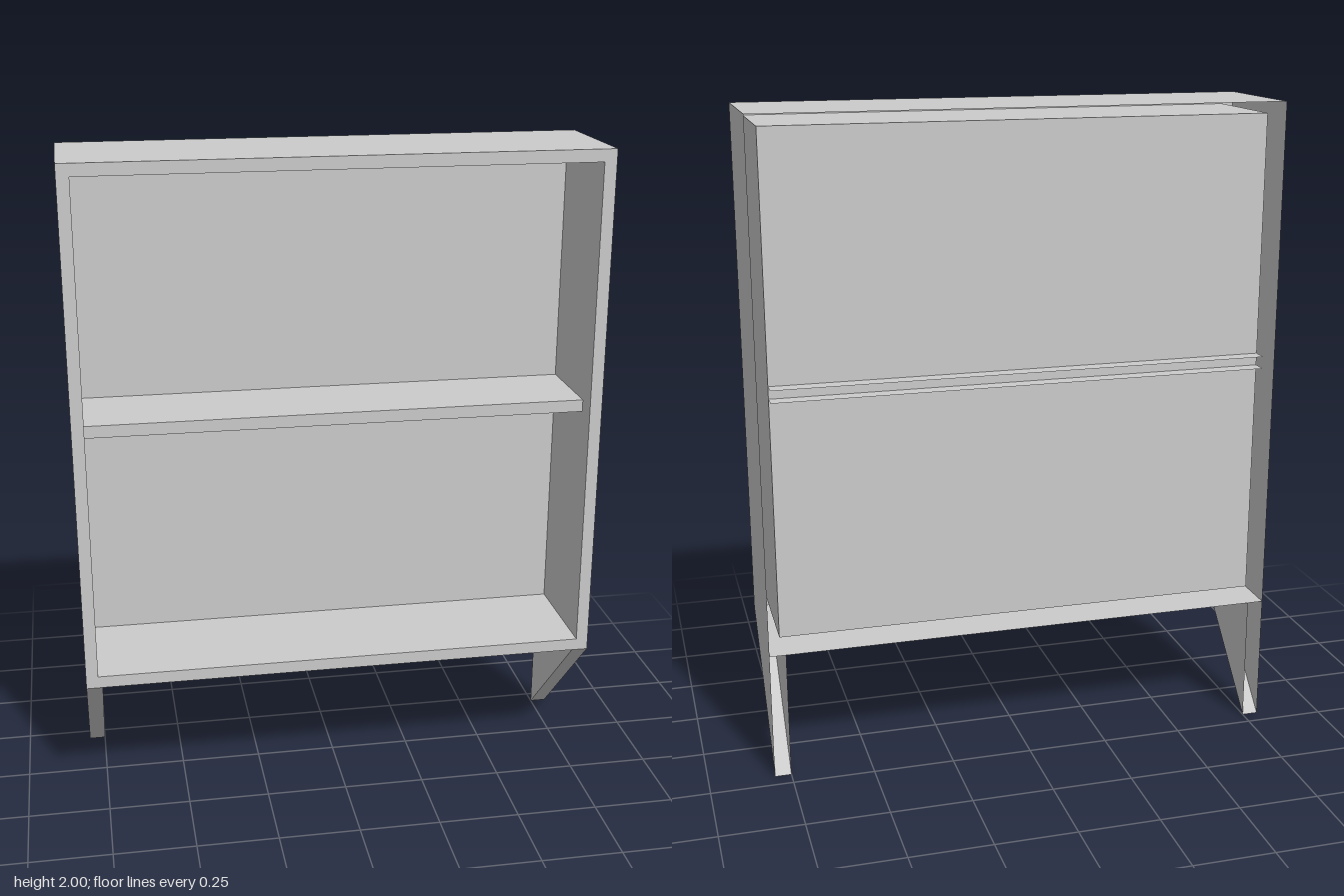
import * as THREE from 'three';

const material = new THREE.MeshStandardMaterial({ color: 0xcccccc, side: THREE.DoubleSide });

// Overall sizes: outer case, recess opening, depth stations
const X = 0.8, TOP = 2, BOTTOM = 0.4, FRONT = 0.2, BACK = -0.2;
const IX = 0.7625, ITOP = 1.9625, IBOTTOM = 0.4375, PANEL_Z = -0.15;
const LEG_X = 0.75;
const SHELF_TOP = 1.2225, SHELF_BOTTOM = 1.185, SHELF_FRONT = 0.13;

// Flat convex sheet from corners listed counter-clockwise as seen from its front
function sheet(name, corners) {
  const index = [];
  for (let i = 1; i < corners.length - 1; i++) index.push(0, i, i + 1);
  const geometry = new THREE.BufferGeometry();
  geometry.setAttribute('position', new THREE.Float32BufferAttribute(corners.flat(), 3));
  geometry.setIndex(index);
  geometry.computeVertexNormals();
  const mesh = new THREE.Mesh(geometry, material);
  mesh.name = name;
  return mesh;
}

// Horizontal sheet facing up or down
function level(name, halfWidth, y, zFront, zBack, up) {
  const c = [[-halfWidth, y, zFront], [halfWidth, y, zFront], [halfWidth, y, zBack], [-halfWidth, y, zBack]];
  return sheet(name, up ? c : c.reverse());
}

// Upright sheet facing the front
function upright(name, halfWidth, y0, y1, z) {
  return sheet(name, [[-halfWidth, y0, z], [halfWidth, y0, z], [halfWidth, y1, z], [-halfWidth, y1, z]]);
}

// Sheet on one side, mirrored to the other with its winding kept correct
function sideSheet(name, side, corners) {
  const c = corners.map(([x, y, z]) => [x * side, y, z]);
  return sheet(name, side > 0 ? c : c.reverse());
}

export function createModel() {
  const model = new THREE.Group();
  model.name = 'bookcase';

  // Front frame around the opening
  const frame = new THREE.Shape([[-X, BOTTOM], [X, BOTTOM], [X, TOP], [-X, TOP]].map(p => new THREE.Vector2(...p)));
  frame.holes.push(new THREE.Path(
    [[-IX, IBOTTOM], [-IX, ITOP], [IX, ITOP], [IX, IBOTTOM]].map(p => new THREE.Vector2(...p))));
  const frontFrame = new THREE.Mesh(new THREE.ShapeGeometry(frame), material);
  frontFrame.name = 'frontFrame';
  frontFrame.position.z = FRONT;
  model.add(frontFrame);

  // Outer case, open at the back
  model.add(level('caseTop', X, TOP, FRONT, BACK, true));
  model.add(level('caseBottom', X, BOTTOM, FRONT, BACK, false));

  // Recess lining and back panel
  model.add(level('recessCeiling', IX, ITOP, FRONT, PANEL_Z, false));
  model.add(level('recessFloor', IX, IBOTTOM, FRONT, PANEL_Z, true));
  model.add(upright('backPanel', IX, IBOTTOM, ITOP, PANEL_Z));

  // Hollow shelf passing through the back panel
  const shelf = new THREE.Group();
  shelf.name = 'shelf';
  shelf.add(level('shelfTop', IX, SHELF_TOP, SHELF_FRONT, BACK, true));
  shelf.add(level('shelfUnderside', IX, SHELF_BOTTOM, SHELF_FRONT, BACK, false));
  shelf.add(upright('shelfFront', IX, SHELF_BOTTOM, SHELF_TOP, SHELF_FRONT));
  model.add(shelf);

  for (const side of [1, -1]) {
    const prefix = side > 0 ? 'left' : 'right';
    // Outer side running down into the slanted leg
    model.add(sideSheet(prefix + 'Side', side,
      [[X, BOTTOM, FRONT], [X, 0, BACK], [X, TOP, BACK], [X, TOP, FRONT]]));
    // Inner side of the recess
    model.add(sideSheet(prefix + 'RecessWall', side,
      [[IX, IBOTTOM, FRONT], [IX, ITOP, FRONT], [IX, ITOP, PANEL_Z], [IX, IBOTTOM, PANEL_Z]]));
    // Leg: inner triangle and sloping front face, open at the back
    const leg = new THREE.Group();
    leg.name = prefix + 'Leg';
    leg.add(sideSheet('legInner', side,
      [[LEG_X, BOTTOM, FRONT], [LEG_X, BOTTOM, BACK], [LEG_X, 0, BACK]]));
    leg.add(sideSheet('legSlope', side,
      [[LEG_X, BOTTOM, FRONT], [LEG_X, 0, BACK], [X, 0, BACK], [X, BOTTOM, FRONT]]));
    model.add(leg);
  }
  return model;
}
